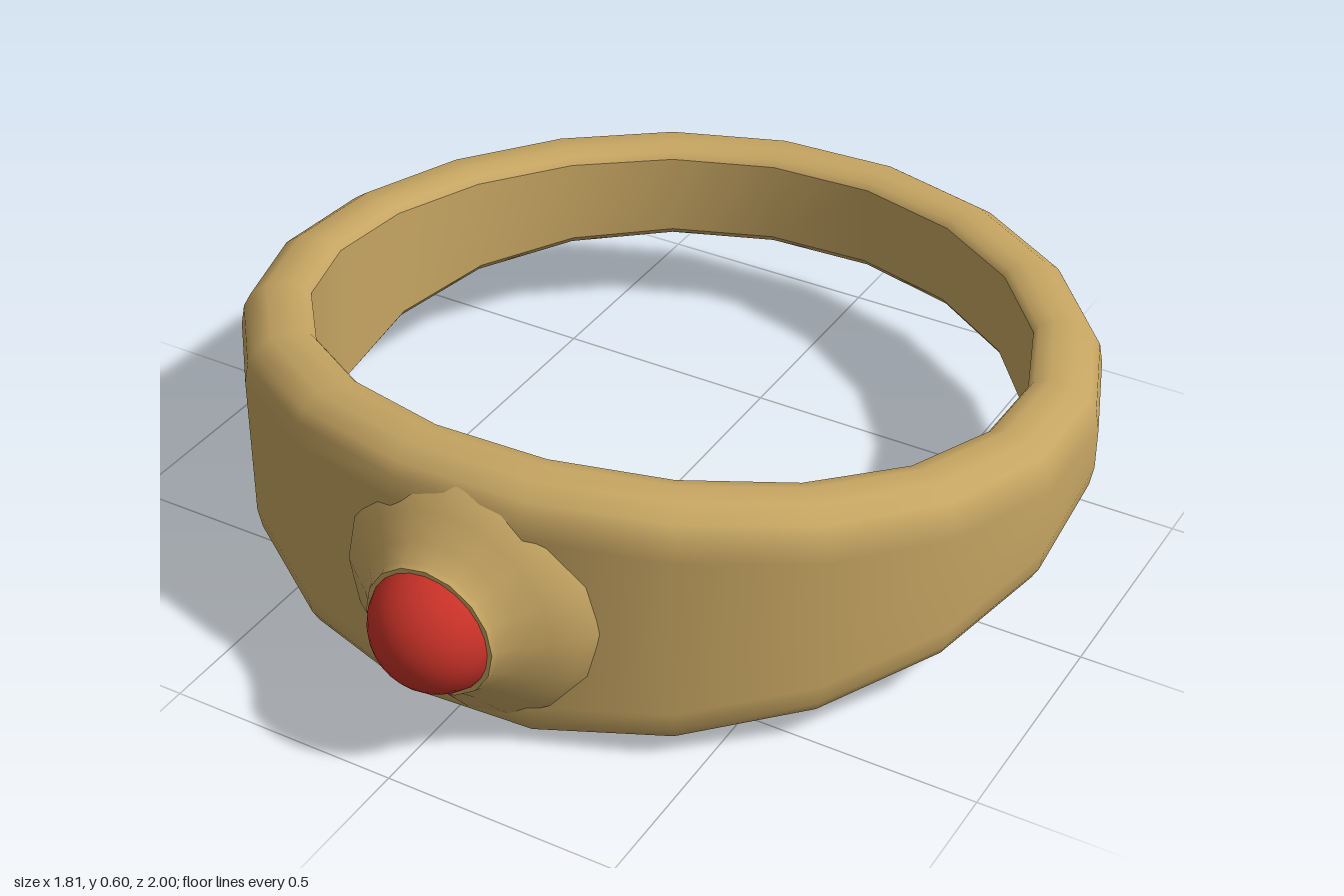
import * as THREE from 'three';

const SEGMENTS = 20;
const START = THREE.MathUtils.degToRad(11.8);
const RING_Z = -0.095, MID_Y = 0.302;

// Half height of the band: tall at the front, slim at the back
const halfHeight = (c) => 0.163 + 0.0925 * c + 0.0475 * c * c;

// Sweep a cross-section of [radius, height] points around the finger hole
function sweep(section) {
  const pos = [], index = [];
  let n = 0;
  for (let i = 0; i < SEGMENTS; i++) {
    const a = START + (i / SEGMENTS) * Math.PI * 2;
    const pts = section(halfHeight(Math.cos(a)));
    n = pts.length;
    for (const [r, y] of pts) pos.push(r * Math.sin(a), MID_Y + y, RING_Z + r * Math.cos(a));
    const next = (i + 1) % SEGMENTS;
    for (let j = 0; j < n - 1; j++) {
      const p = i * n + j, q = next * n + j;
      index.push(p, p + 1, q, p + 1, q + 1, q);
    }
  }
  const g = new THREE.BufferGeometry();
  g.setAttribute('position', new THREE.Float32BufferAttribute(pos, 3));
  g.setIndex(index);
  g.computeVertexNormals();
  return g;
}

// Rounded outside, from the upper inner edge over to the lower inner edge
function outerSection(h) {
  const top = [
    [0.757, h - 0.025], [0.768, h - 0.01], [0.8, h], [0.85, h - 0.003],
    [0.885, h - 0.028], [0.9, h - 0.055], [0.908, h - 0.1],
  ];
  return [...top, ...top.map(([r, y]) => [r, -y]).reverse()];
}

// Straight inner wall
const innerSection = (h) => [[0.757, 0.025 - h], [0.757, h - 0.025]];

export function createModel() {
  const gold = new THREE.MeshStandardMaterial({ color: 0xc6a562 });
  gold.name = 'gold';
  const red = new THREE.MeshStandardMaterial({ color: 0xc93228 });
  red.name = 'red';

  const model = new THREE.Group();
  model.name = 'ring';
  const add = (name, geometry, material) => {
    const mesh = new THREE.Mesh(geometry, material);
    mesh.name = name;
    model.add(mesh);
    return mesh;
  };

  add('bandOuter', sweep(outerSection), gold);
  add('bandInner', sweep(innerSection), gold);

  // Flared collar holding the stone
  const collar = [[0.28, 0.745], [0.262, 0.785], [0.22, 0.82], [0.175, 0.855], [0.146, 0.885], [0.141, 0.9]]
    .map(([r, z]) => new THREE.Vector2(r, z));
  add('settingCollar', new THREE.LatheGeometry(collar, 16).rotateX(Math.PI / 2), gold).position.set(0.04, MID_Y, 0);
  add('settingFace', new THREE.CircleGeometry(0.141, 16, -Math.PI / 2), gold).position.set(0.04, MID_Y, 0.9);

  // Domed stone
  const dome = new THREE.SphereGeometry(0.136, 24, 10, 0, Math.PI * 2, 0, Math.PI / 2).rotateX(Math.PI / 2);
  add('stone', dome, red).position.set(0.04, MID_Y, 0.864);

  return model;
}
